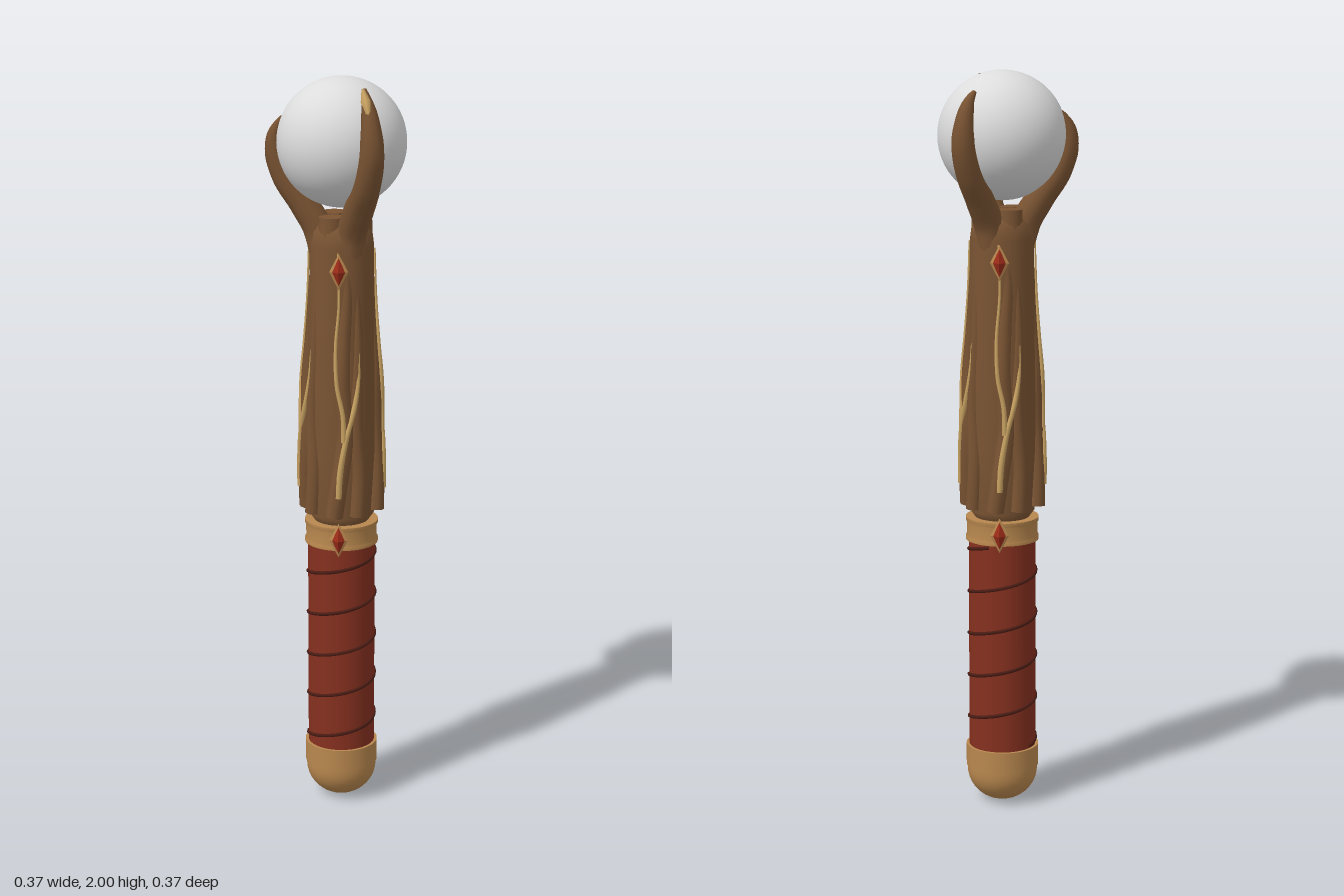
import * as THREE from 'three';

const mat = (name, color) => {
  const m = new THREE.MeshStandardMaterial({ color });
  m.name = name;
  return m;
};

export function createModel() {
  const wood = mat('brown wood', 0x7a5433);
  const leather = mat('red leather', 0x85301f);
  const cordMat = mat('dark cord', 0x4a1c14);
  const brass = mat('brass', 0xb8874e);
  const vineMat = mat('pale vine', 0xc9a362);
  const gemMat = mat('red gem', 0x9c2c18);
  const pearl = mat('pale orb', 0xdcdcdc);

  const model = new THREE.Group();
  const staff = new THREE.Group();
  staff.name = 'staff';
  staff.position.x = 0.017;
  model.add(staff);

  const add = (parent, name, geometry, material) => {
    const mesh = new THREE.Mesh(geometry, material);
    mesh.name = name;
    parent.add(mesh);
    return mesh;
  };
  const lathe = (name, pts, material) => add(staff, name,
    new THREE.LatheGeometry(pts.map(p => new THREE.Vector2(...p)), 48), material);

  // Tube whose radius follows a list of values along the path, closed at both ends
  const taper = (points, radii, segs = 36, sides = 10) => {
    const curve = new THREE.CatmullRomCurve3(points.map(p => new THREE.Vector3(...p)));
    const geo = new THREE.TubeGeometry(curve, segs, 1, sides);
    const pos = geo.attributes.position, nor = geo.attributes.normal;
    for (let i = 0; i <= segs; i++) {
      const ring = Math.min(Math.max(i, 1), segs - 1);
      const f = (ring / segs) * (radii.length - 1);
      const k = Math.min(Math.floor(f), radii.length - 2);
      const capped = i !== ring;
      const r = capped ? 0 : THREE.MathUtils.lerp(radii[k], radii[k + 1], f - k);
      const c = curve.getPointAt(ring / segs);
      for (let j = 0; j <= sides; j++) {
        const v = i * (sides + 1) + j;
        pos.setXYZ(v, c.x + nor.getX(v) * r, c.y + nor.getY(v) * r, c.z + nor.getZ(v) * r);
      }
    }
    return geo;
  };
  // Point on the front of the shaft: sideways offset, height, distance from axis
  const onShaft = ([u, y, r]) => [Math.sin(u / r) * r, y, Math.cos(u / r) * r];

  // Pommel
  const dome = [];
  for (let i = 0; i <= 10; i++) {
    const a = (i / 10) * Math.PI / 2;
    dome.push([0.096 * Math.sin(a), 0.09 - 0.09 * Math.cos(a)]);
  }
  lathe('pommel', [...dome, [0.096, 0.1]], brass);
  lathe('pommelBand', [[0.09, 0.1], [0.099, 0.1], [0.099, 0.1], [0.099, 0.16], [0.099, 0.16], [0.08, 0.16]], brass);

  // Grip and its spiral cord
  lathe('grip', [[0.091, 0.15], [0.091, 0.75]], leather);
  const helix = [];
  for (let i = 0; i <= 120; i++) {
    const t = i / 120, a = Math.PI * 1.2 - t * Math.PI * 2 * 4.8;
    helix.push(new THREE.Vector3(Math.cos(a) * 0.091, 0.165 + t * 0.57, Math.sin(a) * 0.091));
  }
  add(staff, 'gripCord', new THREE.TubeGeometry(new THREE.CatmullRomCurve3(helix), 300, 0.005, 6), cordMat);

  // Collar
  lathe('collar', [[0.08, 0.742], [0.099, 0.742], [0.099, 0.742], [0.099, 0.752], [0.096, 0.755],
    [0.096, 0.792], [0.099, 0.795], [0.099, 0.805], [0.099, 0.805], [0.07, 0.805]], brass);

  // Shaft
  lathe('shaft', [[0.07, 0.8], [0.088, 0.825], [0.09, 1.0], [0.09, 1.2], [0.085, 1.4],
    [0.085, 1.56], [0.08, 1.6], [0.06, 1.63], [0, 1.635]], wood);

  // Short stumps between the claws
  for (let k = 0; k < 3; k++) {
    const a = (k * 2 * Math.PI) / 3;
    const stump = add(staff, 'stump', new THREE.CylinderGeometry(0.034, 0.038, 0.14, 14), wood);
    stump.position.set(Math.cos(a) * 0.046, 1.57, Math.sin(a) * 0.046);
  }

  // Roots and vines, repeated on four sides
  for (let k = 0; k < 4; k++) {
    const side = new THREE.Group();
    side.name = 'rootsAndVines';
    side.rotation.y = (k * Math.PI) / 2;
    staff.add(side);
    add(side, 'root', taper([
      [-0.015, 0.815, 0.093], [0, 0.92, 0.092], [0.016, 1.05, 0.088], [0.008, 1.2, 0.086],
      [0.012, 1.32, 0.078], [0.02, 1.45, 0.074], [0.012, 1.58, 0.07]].map(onShaft),
    [0.024, 0.024, 0.023, 0.022, 0.019, 0.015, 0.008]), wood);
    add(side, 'sideRoot', taper([
      [0.05, 0.815, 0.088], [0.056, 0.95, 0.086], [0.046, 1.1, 0.085], [0.05, 1.3, 0.08], [0.045, 1.5, 0.075]].map(onShaft),
    [0.022, 0.021, 0.018, 0.014, 0.006]), wood);
    add(side, 'vine', taper([
      [0, 0.88, 0.111], [0.006, 0.97, 0.112], [0.022, 1.06, 0.109], [0.045, 1.15, 0.1],
      [0.054, 1.22, 0.095], [0.055, 1.3, 0.092]].map(onShaft),
    [0.009, 0.008, 0.007, 0.007, 0.005, 0.002], 30, 8), vineMat);
    add(side, 'vineFork', taper([
      [0.015, 1.03, 0.109], [0.012, 1.12, 0.109], [-0.004, 1.2, 0.108], [-0.008, 1.3, 0.1],
      [0, 1.42, 0.091], [-0.004, 1.57, 0.087]].map(onShaft),
    [0.007, 0.006, 0.005, 0.004, 0.003, 0.002], 30, 8), vineMat);
  }

  // Diamond gems in brass settings, front and back
  for (const s of [1, -1]) {
    for (const [y, z] of [[0.772, 0.099], [1.505, 0.096]]) {
      const setting = add(staff, 'gemSetting', new THREE.OctahedronGeometry(1), brass);
      setting.scale.set(0.025, 0.048, 0.012);
      setting.position.set(0, y, z * s);
      const gem = add(staff, 'gem', new THREE.OctahedronGeometry(1), gemMat);
      gem.scale.set(0.018, 0.037, 0.014);
      gem.position.set(0, y, (z + 0.003) * s);
    }
  }

  // Orb
  add(staff, 'orb', new THREE.SphereGeometry(0.17, 48, 32), pearl).position.y = 1.83;

  // Three claws holding the orb: angle about the axis and path as distance, height
  const stem = [[0.05, 1.53], [0.062, 1.6], [0.1, 1.665], [0.148, 1.735], [0.175, 1.81]];
  const claws = [
    [Math.PI, [[0.173, 1.855], [0.15, 1.9]]],
    [Math.PI / 3, [[0.173, 1.88], [0.155, 1.94], [0.125, 1.99]]],
    [-Math.PI / 3, [[0.173, 1.87], [0.155, 1.92], [0.12, 1.955]]],
  ];
  for (const [angle, tip] of claws) {
    const claw = new THREE.Group();
    claw.name = 'claw';
    claw.rotation.y = -angle;
    staff.add(claw);
    add(claw, 'clawBranch', taper([...stem, ...tip].map(([r, y]) => [r, y, 0]),
      [0.034, 0.04, 0.039, 0.036, 0.034, 0.03, 0.02, 0.004], 48, 12), wood);
  }

  // Pale split on the tallest claw's tip
  const split = add(staff, 'clawSplit', taper(
    [[0.178, 1.915, 0.008], [0.166, 1.945, 0.01], [0.135, 1.985, 0.006]], [0.004, 0.014, 0.003], 16, 6), vineMat);
  split.rotation.y = -Math.PI / 3;

  return model;
}
